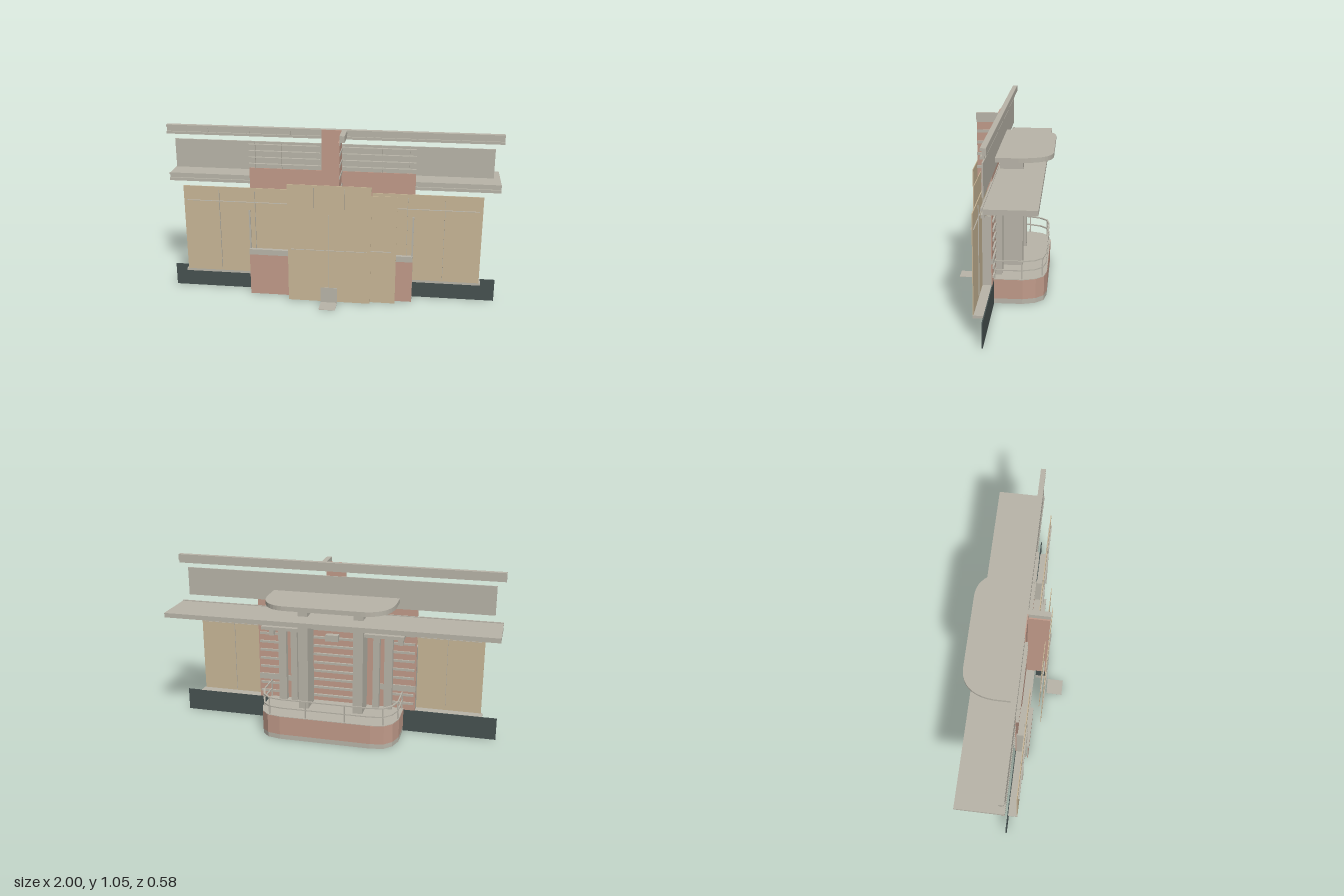
import * as THREE from 'three';

const mat = (name, color) => {
  const m = new THREE.MeshStandardMaterial({ color });
  m.name = name;
  return m;
};

export function createModel() {
  const group = new THREE.Group();
  const gray = mat('concrete gray', 0xb9b5a9);
  const pink = mat('terracotta pink', 0xc19b8a);
  const tan = mat('sand tan', 0xc9b797);
  const dark = mat('dark slate', 0x475251);

  const add = (name, geo, m) => {
    const mesh = new THREE.Mesh(geo, m);
    mesh.name = name;
    group.add(mesh);
    return mesh;
  };
  // box given by its limits on each axis
  const box = (name, m, x0, x1, y0, y1, z0, z1) =>
    add(name, new THREE.BoxGeometry(x1 - x0, y1 - y0, z1 - z0), m)
      .position.set((x0 + x1) / 2, (y0 + y1) / 2, (z0 + z1) / 2);
  // the same box on both sides of x = 0
  const pair = (name, m, x0, x1, ...r) => {
    box(name, m, x0, x1, ...r);
    box(name, m, -x1, -x0, ...r);
  };
  // plan outline (x, -z) extruded upward
  const slab = (name, m, shape, y0, y1) => {
    const geo = new THREE.ExtrudeGeometry(shape, { depth: y1 - y0, bevelEnabled: false, curveSegments: 10 });
    geo.rotateX(-Math.PI / 2);
    add(name, geo, m).position.y = y0;
  };

  // plinth and ledge
  box('plinth', dark, -1, 1, 0, 0.14, 0.034, 0.04);
  box('plinthLedge', gray, -0.91, 0.91, 0.125, 0.14, 0.035, 0.097);

  // front wall panels
  pair('sidePanel', tan, 0.25, 0.9, 0.14, 0.69, 0.092, 0.097);
  box('centrePanel', tan, -0.25, 0.25, 0, 0.75, 0.17, 0.174);
  box('offsetPanel', tan, -0.15, 0.4, 0, 0.69, 0.148, 0.152);
  pair('lowPier', pink, 0.25, 0.5, 0, 0.265, 0.112, 0.117);
  pair('pierCap', gray, 0.25, 0.5, 0.265, 0.3, 0.03, 0.12);
  pair('pierReturn', gray, 0.49, 0.5, 0, 0.55, 0.042, 0.105);

  // thin mullions that stand out from the panels
  const t = 0.001;
  for (const x of [0.46, 0.68]) pair('sideMullion', gray, x - t, x + t, 0.155, 0.67, 0.087, 0.106);
  pair('sideRail', gray, 0.26, 0.88, 0.599, 0.601, 0.087, 0.106);
  box('centreMullion', gray, -t, t, 0.025, 0.57, 0.174, 0.182);
  pair('shortMullion', gray, 0.089, 0.091, 0.605, 0.735, 0.174, 0.182);
  box('centreRail', gray, -0.23, 0.23, 0.339, 0.341, 0.17, 0.18);
  box('offsetRail', gray, -0.15, 0.37, 0.339, 0.341, 0.15, 0.16);

  // entrance plate and flap
  box('entrancePlate', gray, -0.05, 0.05, 0, 0.1, 0.188, 0.191);
  box('entranceFlap', gray, -0.05, 0.05, 0, 0.002, 0.19, 0.29);

  // pink core wall, tower and its side fin
  box('coreWall', pink, -0.5, 0.5, 0.14, 0.8, 0.036, 0.042);
  box('tower', pink, -0.06, 0.06, 0.8, 1.05, 0.036, 0.044);
  box('towerFin', pink, 0.052, 0.06, 0.14, 1.01, 0.04, 0.169);
  box('towerFinFoot', dark, 0.052, 0.06, 0.05, 0.14, 0.105, 0.169);
  box('towerFinBase', gray, 0.052, 0.06, 0, 0.05, 0.105, 0.169);
  box('towerBeam', gray, 0.06, 0.09, 1.01, 1.05, 0.01, 0.17);
  for (const y of [0.145, 0.185, 0.337, 0.41, 0.485, 0.63, 0.72, 0.8, 0.87, 0.937, 1.0])
    box('towerBand', gray, 0.06, 0.064, y - 0.008, y + 0.008, 0.04, 0.17);

  // slatted screen beside the tower
  for (const y of [0.83, 0.87, 0.91, 0.95]) pair('screenSlat', gray, 0.065, 0.5, y - t, y + t, 0.04, 0.058);
  for (const x of [0.3, 0.46]) pair('screenPost', gray, x - t, x + t, 0.8, 0.96, 0.04, 0.055);

  // high wall band and top beam
  box('highWall', gray, -0.95, 0.95, 0.79, 0.965, 0.03, 0.038);
  box('topBeam', gray, -1, 1, 1.01, 1.05, 0.01, 0.03);
  box('topBeamUpperLip', gray, -1, 1, 1.037, 1.05, 0.03, 0.04);
  box('topBeamLowerLip', gray, -1, 1, 0.995, 1.01, 0.02, 0.04);
  for (const x of [0.25, 0.5, 0.75]) pair('beamStay', gray, x - 0.005, x + 0.005, 1.01, 1.037, 0.03, 0.038);

  // long roof slab with channel edge
  box('roofSlab', gray, -1, 1, 0.717, 0.745, -0.243, 0.03);
  box('roofUpperLip', gray, -1, 1, 0.735, 0.75, 0.03, 0.04);
  box('roofLowerLip', gray, -1, 1, 0.7, 0.718, 0.02, 0.04);

  // rounded upper canopy
  const canopy = new THREE.Shape();
  canopy.moveTo(-0.39, -0.03);
  canopy.lineTo(0.39, -0.03);
  canopy.lineTo(0.39, 0.1);
  canopy.bezierCurveTo(0.38, 0.23, 0.32, 0.293, 0.22, 0.293);
  canopy.lineTo(-0.22, 0.293);
  canopy.bezierCurveTo(-0.32, 0.293, -0.38, 0.23, -0.39, 0.1);
  slab('upperCanopy', gray, canopy, 0.828, 0.855);

  // rear fins, pilasters and small canopies
  pair('rearFin', gray, 0.14, 0.2, 0.14, 0.828, -0.115, 0.02);
  pair('pilaster', gray, 0.24, 0.28, 0.14, 0.72, -0.005, 0.03);
  pair('pilaster', gray, 0.31, 0.36, 0.14, 0.72, -0.005, 0.03);
  pair('sideCanopy', gray, 0.2, 0.44, 0.635, 0.655, -0.09, 0.035);
  pair('canopyBracket', gray, 0.39, 0.42, 0.57, 0.635, 0.0, 0.035);
  for (let i = 0; i < 10; i++) {
    const y = 0.18 + i * 0.055;
    box('rearSlat', gray, -0.14, 0.14, y, y + 0.014, 0.022, 0.036);
    pair('rearSideSlat', gray, 0.36, 0.49, y, y + 0.014, 0.026, 0.036);
  }
  box('rearBox', gray, -0.02, 0.06, 0.56, 0.6, 0.0, 0.036);

  // balcony with faceted corners
  const corner = [[0.43, -0.04], [0.43, 0.13], [0.405, 0.205], [0.36, 0.25], [0.28, 0.265]];
  const plan = (inset) => {
    const half = corner.map(([x, z], i) => new THREE.Vector2(x - inset, i ? z - inset : z));
    return [...half, ...half.map((p) => new THREE.Vector2(-p.x, p.y)).reverse()];
  };
  slab('balconyBase', gray, new THREE.Shape(plan(0.001)), 0, 0.03);
  slab('balconyFront', pink, new THREE.Shape(plan(0)), 0.03, 0.147);
  slab('balconyFloor', gray, new THREE.Shape(plan(0.001)), 0.147, 0.15);

  // balcony railing
  for (const y of [0.199, 0.254]) {
    const rail = new THREE.Shape(plan(0.006));
    rail.holes.push(new THREE.Path(plan(0.014).map((p, i, a) =>
      (i === 0 || i === a.length - 1 ? new THREE.Vector2(p.x, -0.039) : p))));
    slab('handrail', gray, rail, y, y + 0.007);
  }
  for (const [x, z] of [[0.42, 0.03], [0.42, -0.125], [0.35, -0.24], [0.12, -0.255]])
    pair('railPost', gray, x - 0.004, x + 0.004, 0.15, 0.254, z - 0.004, z + 0.004);

  return group;
}
